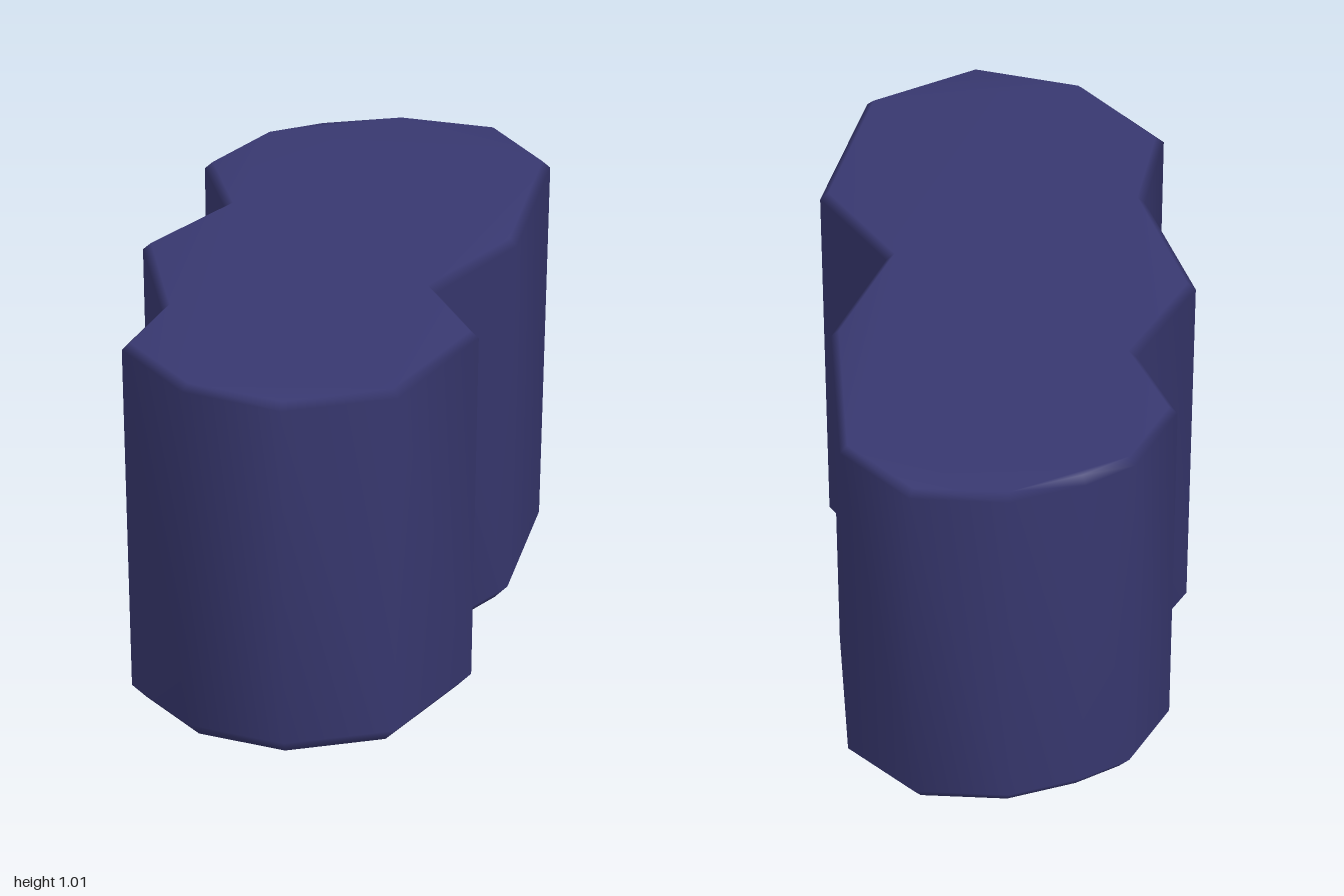
import * as THREE from 'three';

// Outline at the widest level, as [x, z] corners running from the back round the left side
const OUTLINE = [
  [0, -1], [0.26, -0.98], [0.44, -0.77], [0.46, -0.23], [0.315, 0.12], [0.485, 0.4],
  [0.36, 0.84], [0.08, 0.99], [-0.2, 0.91], [-0.41, 0.66], [-0.36, 0.38], [-0.49, -0.02],
  [-0.335, -0.33], [-0.44, -0.59], [-0.33, -0.83], [-0.2, -0.92],
].map(([x, z]) => new THREE.Vector2(x, z));

// Levels from bottom to top: height, taper scale and inset of the bevel
const LEVELS = [
  { y: 0, scale: 0.95, inset: 0.035 },
  { y: 0.035, scale: 0.95, inset: 0 },
  { y: 0.99, scale: 1, inset: 0 },
  { y: 1.01, scale: 1, inset: 0.02 },
];

// Scale the outline, then move every edge inwards by the same distance
function insetOutline(scale, inset) {
  const n = OUTLINE.length;
  const normal = (a, b) => new THREE.Vector2(b.y - a.y, a.x - b.x).normalize();
  return OUTLINE.map((p, i) => {
    const n1 = normal(OUTLINE[(i + n - 1) % n], p);
    const n2 = normal(p, OUTLINE[(i + 1) % n]);
    const mitre = n1.clone().add(n2).divideScalar(1 + n1.dot(n2));
    return p.clone().multiplyScalar(scale).addScaledVector(mitre, -inset);
  });
}

function createBody() {
  const n = OUTLINE.length;
  const positions = [];
  const index = [];
  for (const { y, scale, inset } of LEVELS) {
    for (const p of insetOutline(scale, inset)) positions.push(p.x, y, p.y);
  }

  // Walls and bevels between neighbouring levels
  for (let level = 0; level < LEVELS.length - 1; level++) {
    for (let i = 0; i < n; i++) {
      const a = level * n + i;
      const b = level * n + (i + 1) % n;
      index.push(a, a + n, b + n, a, b + n, b);
    }
  }

  // Flat bottom and top
  const top = (LEVELS.length - 1) * n;
  for (const [a, b, c] of THREE.ShapeUtils.triangulateShape(OUTLINE, [])) {
    index.push(a, b, c, top + a, top + c, top + b);
  }

  const geometry = new THREE.BufferGeometry();
  geometry.setAttribute('position', new THREE.Float32BufferAttribute(positions, 3));
  geometry.setIndex(index);
  geometry.computeVertexNormals();
  return geometry;
}

export function createModel() {
  const group = new THREE.Group();
  group.name = 'rockBlock';
  const body = new THREE.Mesh(createBody(), new THREE.MeshStandardMaterial({ color: 0x383870 }));
  body.name = 'taperedBody';
  group.add(body);
  return group;
}
